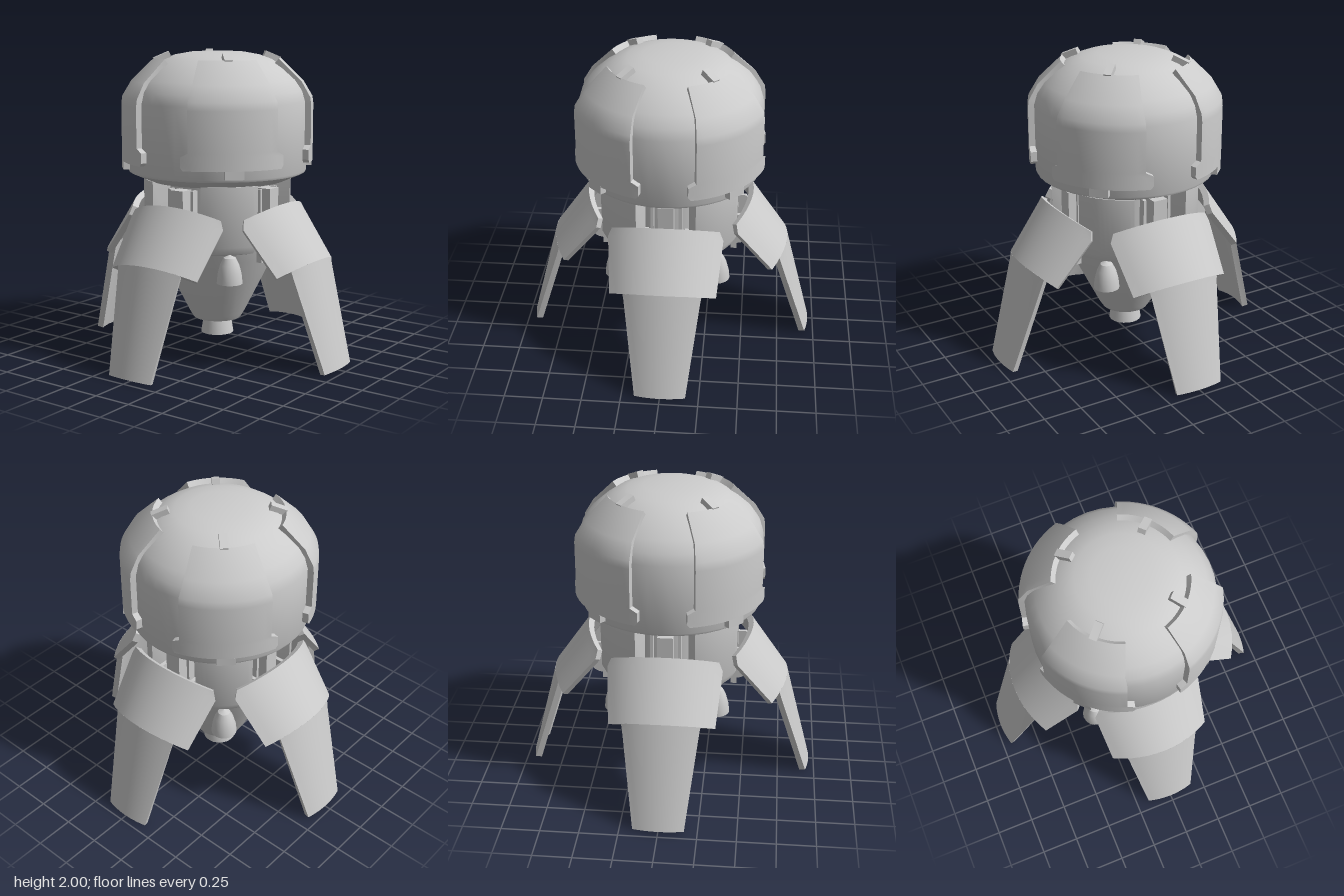
import * as THREE from 'three';
import { toCreasedNormals } from 'three/addons/utils/BufferGeometryUtils.js';

const material = new THREE.MeshStandardMaterial({ color: 0xcccccc });
const rad = THREE.MathUtils.degToRad;

function add(parent, name, geometry, x = 0, y = 0, z = 0) {
  const mesh = new THREE.Mesh(geometry, material);
  mesh.name = name;
  mesh.position.set(x, y, z);
  parent.add(mesh);
  return mesh;
}

// Profile points run from bottom to top
function lathe(points, segments) {
  const profile = points.map(([r, y]) => new THREE.Vector2(r, y));
  return toCreasedNormals(new THREE.LatheGeometry(profile, segments), 0.6);
}

// Closed thick sheet facing +z: rows run downward, columns from -x to +x
function shell(outer, inner) {
  const m = outer.length, n = outer[0].length, size = m * n;
  const pos = [...outer.flat(), ...inner.flat()].flatMap((p) => p.toArray());
  const index = [];
  for (let i = 0; i < m - 1; i++) {
    for (let j = 0; j < n - 1; j++) {
      const a = i * n + j, b = a + 1, c = a + n, d = c + 1;
      index.push(a, c, d, a, d, b);
      index.push(size + a, size + d, size + c, size + a, size + b, size + d);
    }
  }
  const rim = [];
  for (let i = 0; i < m - 1; i++) rim.push(i * n);
  for (let j = 0; j < n - 1; j++) rim.push((m - 1) * n + j);
  for (let i = m - 1; i > 0; i--) rim.push(i * n + n - 1);
  for (let j = n - 1; j > 0; j--) rim.push(j);
  rim.forEach((p, k) => {
    const q = rim[(k + 1) % rim.length];
    index.push(p, size + p, q, q, size + p, size + q);
  });
  const g = new THREE.BufferGeometry();
  g.setAttribute('position', new THREE.Float32BufferAttribute(pos, 3));
  g.setIndex(index);
  return toCreasedNormals(g, 0.6);
}

// Plate wrapped round the y axis; rows are [outer r, outer y, inner r, inner y, half angle]
function wrappedPlate(rows, columns = 12) {
  const ring = (r, y, half) => Array.from({ length: columns + 1 }, (_, j) => {
    const a = rad(half) * (2 * j / columns - 1);
    return new THREE.Vector3(r * Math.sin(a), y, r * Math.cos(a));
  });
  return shell(rows.map((r) => ring(r[0], r[1], r[4])), rows.map((r) => ring(r[2], r[3], r[4])));
}

// Curved leg plate; rows are [z, y, half width, slope normal angle in degrees]
function legPlate(rows, columns = 12) {
  const R = 0.54, thickness = 0.042;
  const arc = ([z, y, w, tilt], radius) => Array.from({ length: columns + 1 }, (_, j) => {
    const a = Math.asin(w / R) * (2 * j / columns - 1);
    const drop = R - radius * Math.cos(a);
    return new THREE.Vector3(
      radius * Math.sin(a), y - drop * Math.sin(rad(tilt)), z - drop * Math.cos(rad(tilt)));
  });
  return shell(rows.map((r) => arc(r, R)), rows.map((r) => arc(r, R - thickness)));
}

export function createModel() {
  const model = new THREE.Group();
  model.name = 'lander';

  // Central body
  add(model, 'dome', lathe([
    [0, 1.16], [0.46, 1.16], [0.585, 1.215], [0.592, 1.23], [0.592, 1.68], [0.57, 1.75],
    [0.52, 1.82], [0.44, 1.89], [0.36, 1.945], [0.28, 1.975], [0.18, 1.993], [0, 2]], 40));
  add(model, 'core', lathe([[0.36, 0.7], [0.36, 1.18]], 32));
  add(model, 'lowerCone', lathe([
    [0, 0.21], [0.16, 0.21], [0.185, 0.25], [0.31, 0.5], [0.385, 0.66], [0.415, 0.74], [0.36, 0.77], [0, 0.77]], 24));
  add(model, 'mainNozzle', lathe([[0, 0.1], [0.11, 0.1], [0.09, 0.22]], 20));

  // Shared geometry for the repeated parts
  const armour = wrappedPlate([
    [0.415, 1.955, 0.385, 1.92, 18.5], [0.565, 1.81, 0.52, 1.79, 18.5 + 7], [0.625, 1.71, 0.58, 1.7, 26.5],
    [0.632, 1.66, 0.585, 1.66, 26.5], [0.632, 1.4, 0.585, 1.4, 26.5], [0.632, 1.375, 0.585, 1.375, 31],
    [0.632, 1.31, 0.585, 1.31, 31], [0.632, 1.29, 0.585, 1.29, 29.5]]
    .map((r, i) => (i === 0 ? [...r.slice(0, 4), 26.5] : r)));
  const neck = wrappedPlate([[0.49, 1.17, 0.35, 1.17, 22], [0.485, 0.78, 0.35, 0.78, 22], [0.46, 0.73, 0.35, 0.7, 20]]);
  const booster = lathe([[0, 0], [0.084, 0], [0.078, 0.06], [0.062, 0.12], [0.04, 0.165], [0, 0.185]], 16);
  const upperLeg = legPlate([[0.55, 1.045, 0.345, 35], [0.58, 1.0, 0.37, 35], [0.79, 0.7, 0.34, 35]]);
  const lowerLeg = legPlate([[0.79, 0.7, 0.25, 33], [0.805, 0.64, 0.243, 14], [0.966, 0.018, 0.165, 14]]);

  // Hooked side plate that carries a leg
  const hook = new THREE.Shape();
  hook.moveTo(0.34, 0.92);
  hook.lineTo(0.5, 0.92);
  hook.lineTo(0.56, 0.84);
  hook.quadraticCurveTo(0.54, 0.71, 0.45, 0.7);
  hook.lineTo(0.45, 0.66);
  hook.lineTo(0.41, 0.66);
  hook.lineTo(0.41, 0.8);
  hook.lineTo(0.34, 0.8);
  const hookGeometry = new THREE.ExtrudeGeometry(hook, { depth: 0.025, bevelEnabled: false, curveSegments: 6 });
  hookGeometry.translate(0, 0, -0.0125);
  hookGeometry.rotateY(-Math.PI / 2);

  for (let k = 0; k < 4; k++) {
    // Leg with its mount, on each axis
    const leg = new THREE.Group();
    leg.name = 'leg' + (k + 1);
    leg.rotation.y = k * Math.PI / 2;
    model.add(leg);
    add(leg, 'upperLegPlate', upperLeg);
    add(leg, 'lowerLegPlate', lowerLeg);
    add(leg, 'legMount', new THREE.BoxGeometry(0.1, 0.28, 0.13), 0, 0.99, 0.385);
    for (const side of [-1, 1]) {
      add(leg, 'strut', new THREE.BoxGeometry(0.02, 0.4, 0.05), side * 0.09, 0.93, 0.385);
      add(leg, 'legHook', hookGeometry, side * 0.13, 0, 0);
    }

    // Armour, neck panel and booster, on each diagonal
    const corner = new THREE.Group();
    corner.name = 'corner' + (k + 1);
    corner.rotation.y = (k + 0.5) * Math.PI / 2;
    model.add(corner);
    add(corner, 'armourPlate', armour);
    add(corner, 'neckPanel', neck);
    add(corner, 'booster', booster, 0, 0.55, 0.465);
    add(corner, 'lowerClip', new THREE.BoxGeometry(0.12, 0.055, 0.05), 0, 1.265, 0.605);
    add(corner, 'upperClip', new THREE.BoxGeometry(0.05, 0.04, 0.11), 0, 1.96, 0.365).rotation.x = 0.4;
  }
  return model;
}
